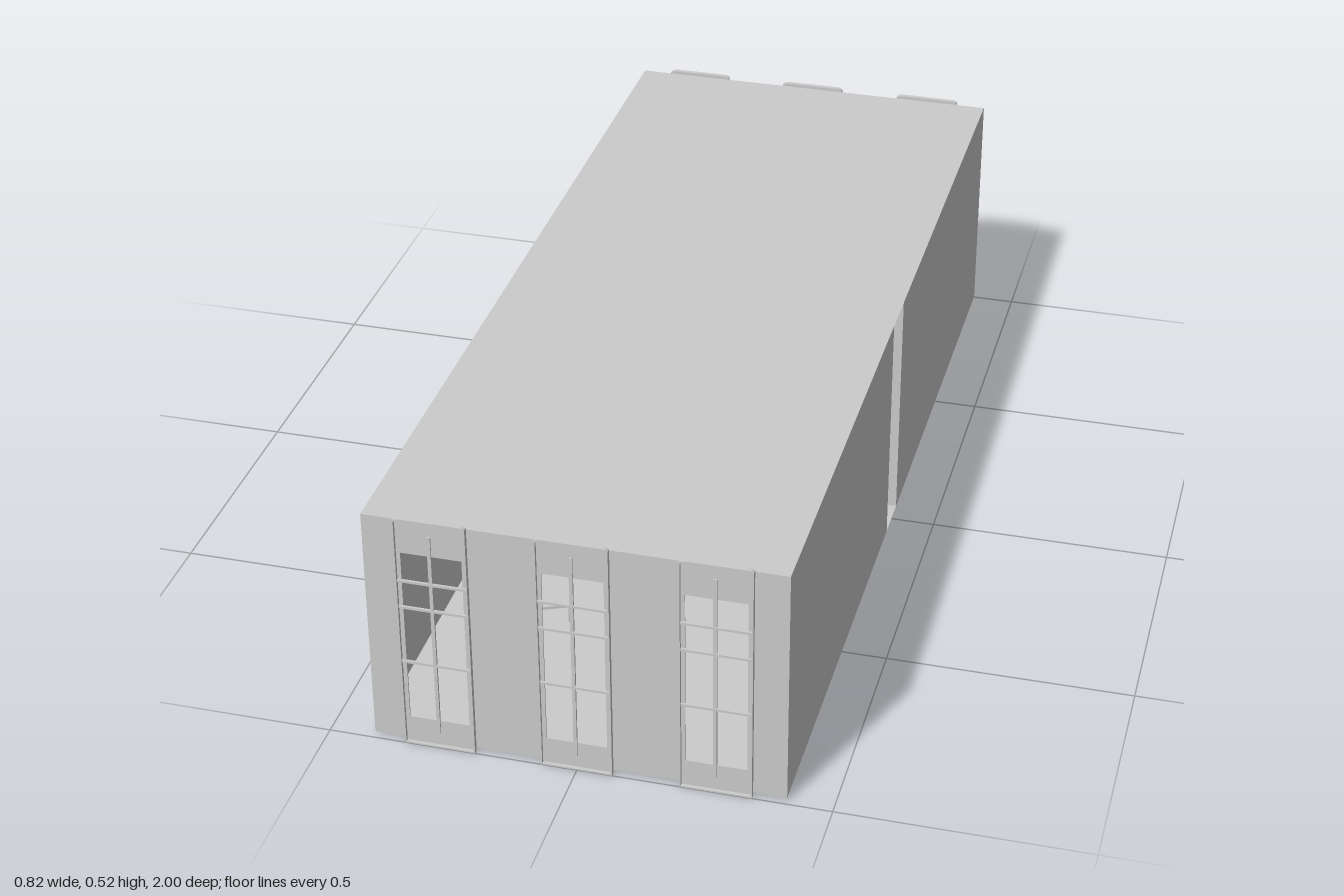
import * as THREE from 'three';

const FLOOR = 0.01, TOP = 0.515, HALF_W = 0.41, HALF_L = 0.99;
const WINDOWS = [-0.275, -0.001, 0.273];

export function createModel() {
  const room = new THREE.Group();
  room.name = 'room';
  const mat = new THREE.MeshStandardMaterial({ color: 0xcccccc, side: THREE.DoubleSide, flatShading: true });

  const add = (parent, name, geo, x = 0, y = 0, z = 0) => {
    const m = new THREE.Mesh(geo, mat);
    m.name = name;
    m.position.set(x, y, z);
    parent.add(m);
    return m;
  };
  const box = (parent, name, w, h, d, x, y, z) => add(parent, name, new THREE.BoxGeometry(w, h, d), x, y, z);
  const rect = (C, x0, y0, x1, y1) => {
    const s = new C();
    s.moveTo(x0, y0);
    s.lineTo(x1, y0);
    s.lineTo(x1, y1);
    s.lineTo(x0, y1);
    s.closePath();
    return s;
  };
  const opening = cx => rect(THREE.Path, cx - 0.06, 0.063, cx + 0.06, 0.443);

  // Floor and ceiling
  for (const [name, y] of [['floor', FLOOR], ['ceiling', TOP]]) {
    add(room, name, new THREE.PlaneGeometry(2 * HALF_W, 2 * HALF_L).rotateX(-Math.PI / 2), 0, y, 0);
  }

  // Side walls in plan, with a shallow pier niche and a recessed rear corner
  const plan = [
    [HALF_W, HALF_L], [HALF_W, 0.06], [0.385, 0.06], [0.385, -0.04],
    [HALF_W, -0.04], [HALF_W, -HALF_L],
  ];
  const corner = [[HALF_W, -0.95], [0.343, -0.95], [0.343, -HALF_L]];
  const wallRun = (name, points, side) => {
    for (let i = 0; i + 1 < points.length; i++) {
      const [x0, z0] = points[i], [x1, z1] = points[i + 1];
      const m = add(room, name, new THREE.PlaneGeometry(Math.hypot(x1 - x0, z1 - z0), TOP - FLOOR),
        side * (x0 + x1) / 2, (FLOOR + TOP) / 2, (z0 + z1) / 2);
      m.rotation.y = Math.atan2(z0 - z1, side * (x1 - x0));
    }
  };
  for (const side of [-1, 1]) {
    wallRun('sideWall', plan, side);
    wallRun('rearCornerRecess', corner, side);
  }

  // End walls with three openings each
  const endWall = (name, halfWidth, z) => {
    const s = rect(THREE.Shape, -halfWidth, FLOOR, halfWidth, TOP);
    s.holes = WINDOWS.map(opening);
    add(room, name, new THREE.ShapeGeometry(s), 0, 0, z);
  };
  endWall('frontWall', HALF_W, HALF_L);
  endWall('rearWall', 0.343, -0.985);

  // Window panel outline with a gently arched top
  const outline = (C, hw, y0, y1) => {
    const s = new C();
    s.moveTo(-hw, y0);
    s.lineTo(hw, y0);
    s.lineTo(hw, y1 - 0.005);
    s.quadraticCurveTo(hw - 0.004, y1, hw - 0.015, y1);
    s.lineTo(-hw + 0.015, y1);
    s.quadraticCurveTo(-hw + 0.004, y1, -hw, y1 - 0.005);
    s.closePath();
    return s;
  };
  const extrude = (s, depth) => new THREE.ExtrudeGeometry(s, { depth, bevelEnabled: false, curveSegments: 4 });
  const panelShape = outline(THREE.Shape, 0.07, 0.004, 0.521);
  panelShape.holes.push(opening(0));
  const rimShape = outline(THREE.Shape, 0.071, 0.003, 0.522);
  rimShape.holes.push(outline(THREE.Path, 0.068, 0.006, 0.519));
  const panelGeo = extrude(panelShape, 0.003), rimGeo = extrude(rimShape, 0.01);

  const makeWindow = (name, x, facing) => {
    const g = new THREE.Group();
    g.name = name;
    add(g, 'windowPanel', panelGeo);
    add(g, 'windowRim', rimGeo);
    box(g, 'mullion', 0.007, 0.453, 0.005, -0.002, 0.2615, 0.004);
    for (const y of [0.195, 0.321, 0.381]) box(g, 'glazingBar', 0.136, 0.005, 0.005, 0, y, 0.005);
    g.position.set(x, 0, facing * 0.99);
    if (facing < 0) g.rotation.y = Math.PI;
    room.add(g);
  };
  for (const x of WINDOWS) {
    makeWindow('frontWindow', x, 1);
    makeWindow('rearWindow', x, -1);
  }
  // Latch rod across the middle rear window
  box(room, 'latchRod', 0.12, 0.005, 0.004, -0.02, 0.384, -0.998);

  // Low tables whose feet reach just through the floor
  const makeTable = (name, x, z, w, d, h, turn) => {
    const g = new THREE.Group();
    g.name = name;
    box(g, 'tableTop', w, 0.006, d, 0, h - 0.003, 0);
    for (const sx of [-1, 1]) for (const sz of [-1, 1]) {
      box(g, 'tableLeg', 0.006, h - 0.007, 0.006, sx * (w / 2 - 0.006), (h + 0.007) / 2 - 0.003, sz * (d / 2 - 0.006));
    }
    g.position.set(x, 0, z);
    g.rotation.y = turn;
    room.add(g);
  };
  makeTable('centreTable', -0.018, 0, 0.064, 0.06, 0.07, 0);
  makeTable('lowTable', -0.19, 0.29, 0.12, 0.07, 0.06, -0.3);
  makeTable('lowBench', -0.21, 0.54, 0.12, 0.07, 0.055, 0.4);

  return room;
}
